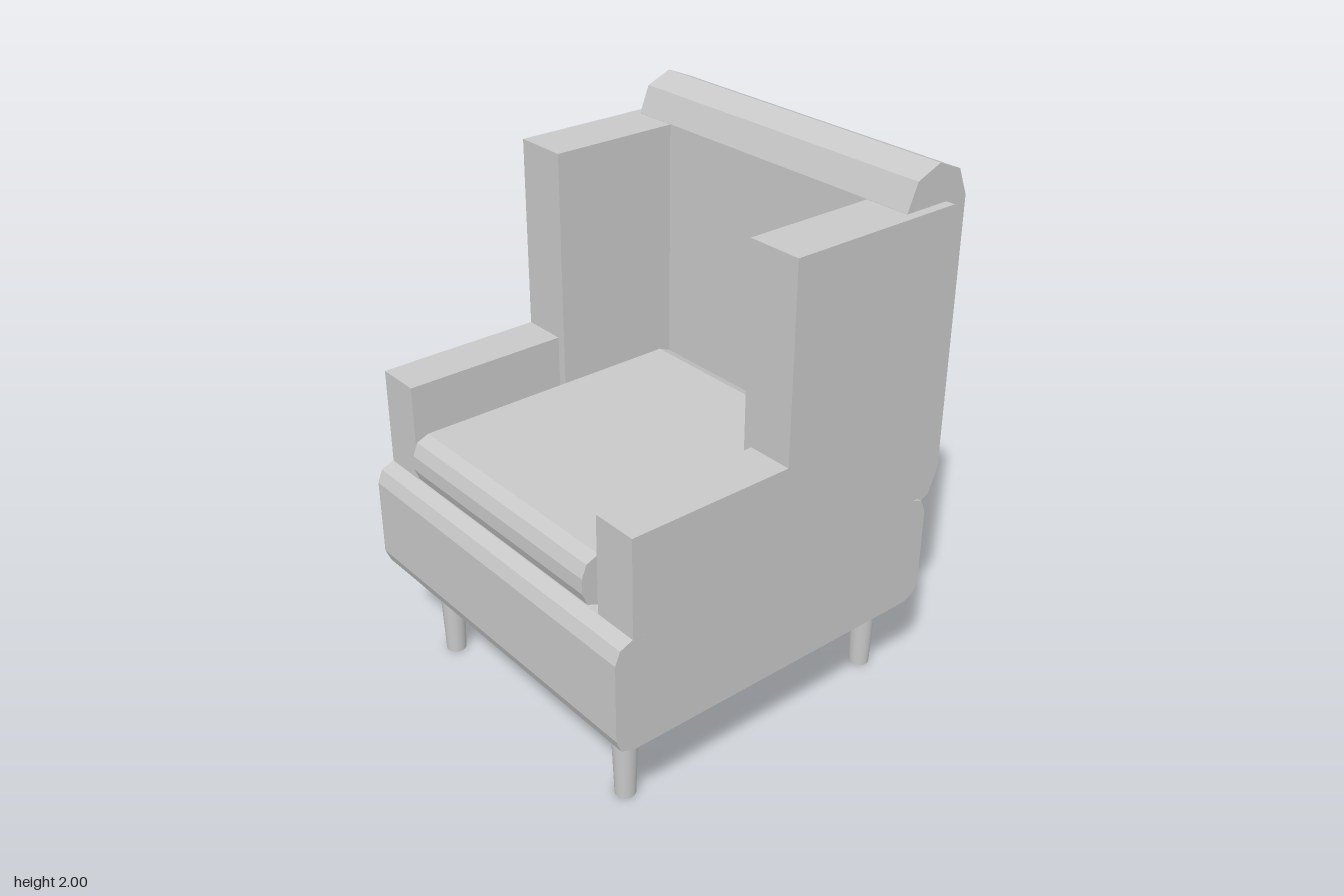
import * as THREE from 'three';

export function createModel() {
  const model = new THREE.Group();
  model.name = 'armchair';
  const grey = new THREE.MeshStandardMaterial({ color: 0xc8c8c8 });
  grey.name = 'light grey';

  const add = (name, geometry, x = 0, y = 0, z = 0) => {
    const mesh = new THREE.Mesh(geometry, grey);
    mesh.name = name;
    mesh.position.set(x, y, z);
    model.add(mesh);
  };

  // Side profile of [z, y] points, extruded across x
  const addProfile = (name, points, width) => {
    const shape = new THREE.Shape(points.map(([z, y]) => new THREE.Vector2(-z, y)));
    const geometry = new THREE.ExtrudeGeometry(shape, { depth: width, bevelEnabled: false });
    geometry.translate(0, 0, -width / 2).rotateY(Math.PI / 2);
    add(name, geometry);
  };

  const addBox = (name, x0, x1, y0, y1, z0, z1) =>
    add(name, new THREE.BoxGeometry(x1 - x0, y1 - y0, z1 - z0),
      (x0 + x1) / 2, (y0 + y1) / 2, (z0 + z1) / 2);

  // Rectangle with each corner cut into two facets
  const softRect = (z0, z1, y0, y1, r) => {
    const k = r * 0.29;
    return [
      [z1 - r, y0], [z1 - k, y0 + k], [z1, y0 + r],
      [z1, y1 - r], [z1 - k, y1 - k], [z1 - r, y1],
      [z0 + r, y1], [z0 + k, y1 - k], [z0, y1 - r],
      [z0, y0 + r], [z0 + k, y0 + k], [z0 + r, y0],
    ];
  };

  // Upholstered body
  addProfile('base', softRect(-0.645, 0.74, 0.355, 0.785, 0.068), 1.39);
  addProfile('seatCushion', softRect(-0.48, 0.703, 0.787, 0.975, 0.066), 0.974);
  addProfile('backrest', softRect(-0.737, -0.463, 0.71, 2, 0.137), 1.32);

  // Arms and wings, mirrored
  for (const [side, s] of [['left', 1], ['right', -1]]) {
    const span = (a, b) => (s > 0 ? [a, b] : [-b, -a]);
    addBox(side + 'Arm', ...span(0.522, 0.695), 0.785, 1.15, 0.04, 0.67);
    addBox(side + 'Wing', ...span(0.488, 0.695), 0.785, 1.862, -0.645, 0.04);
  }

  // Tapered legs
  const leg = new THREE.CylinderGeometry(0.05, 0.037, 0.36, 24);
  for (const x of [-0.52, 0.52])
    for (const [end, z] of [['front', 0.57], ['back', -0.56]])
      add(end + (x > 0 ? 'Left' : 'Right') + 'Leg', leg, x, 0.18, z);

  return model;
}
